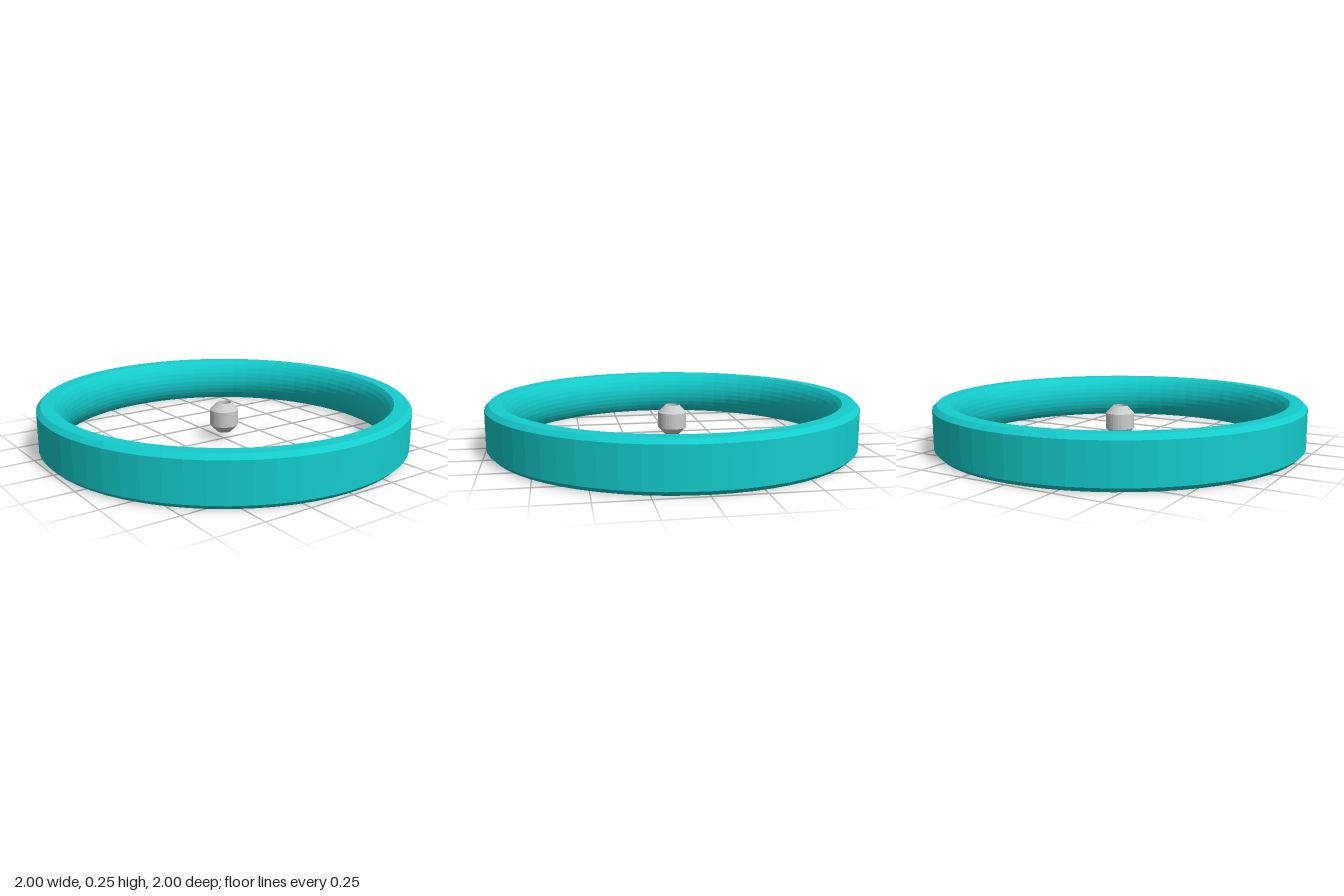
import * as THREE from 'three';

const HEIGHT = 0.25;
const MID = HEIGHT / 2;

// Revolves a closed (radius, y) profile, listed counterclockwise, into a faceted ring
function revolve(name, profile, segments, color) {
  const points = [...profile, profile[0]].map(([r, y]) => new THREE.Vector2(r, y));
  const material = new THREE.MeshStandardMaterial({ color, flatShading: true });
  const mesh = new THREE.Mesh(new THREE.LatheGeometry(points, segments), material);
  mesh.name = name;
  return mesh;
}

// Wide band: chamfered outer edges, flat rims and a convex inner wall
function createBand() {
  const chamfer = 0.023, rimInner = 0.908, bore = 0.855, steps = 10;
  const profile = [
    [1 - chamfer, 0], [1, chamfer], [1, HEIGHT - chamfer], [1 - chamfer, HEIGHT],
  ];
  const sag = rimInner - bore;
  const radius = (MID * MID + sag * sag) / (2 * sag);
  const half = Math.asin(MID / radius);
  for (let i = 0; i <= steps; i++) {
    const a = half * (1 - 2 * i / steps);
    profile.push([bore + radius * (1 - Math.cos(a)), MID + radius * Math.sin(a)]);
  }
  return revolve('outerBand', profile, 64, 0x14cccc);
}

// Small bead at the centre: straight sides, conical ends, round through-hole
function createBead() {
  const r = 0.078, hole = 0.038, side = 0.042, end = 0.082;
  const profile = [
    [hole, MID - end], [r, MID - side], [r, MID + side], [hole, MID + end],
  ];
  return revolve('centreBead', profile, 32, 0xcccccc);
}

export function createModel() {
  const group = new THREE.Group();
  group.name = 'ringWithBead';
  group.add(createBand(), createBead());
  return group;
}
